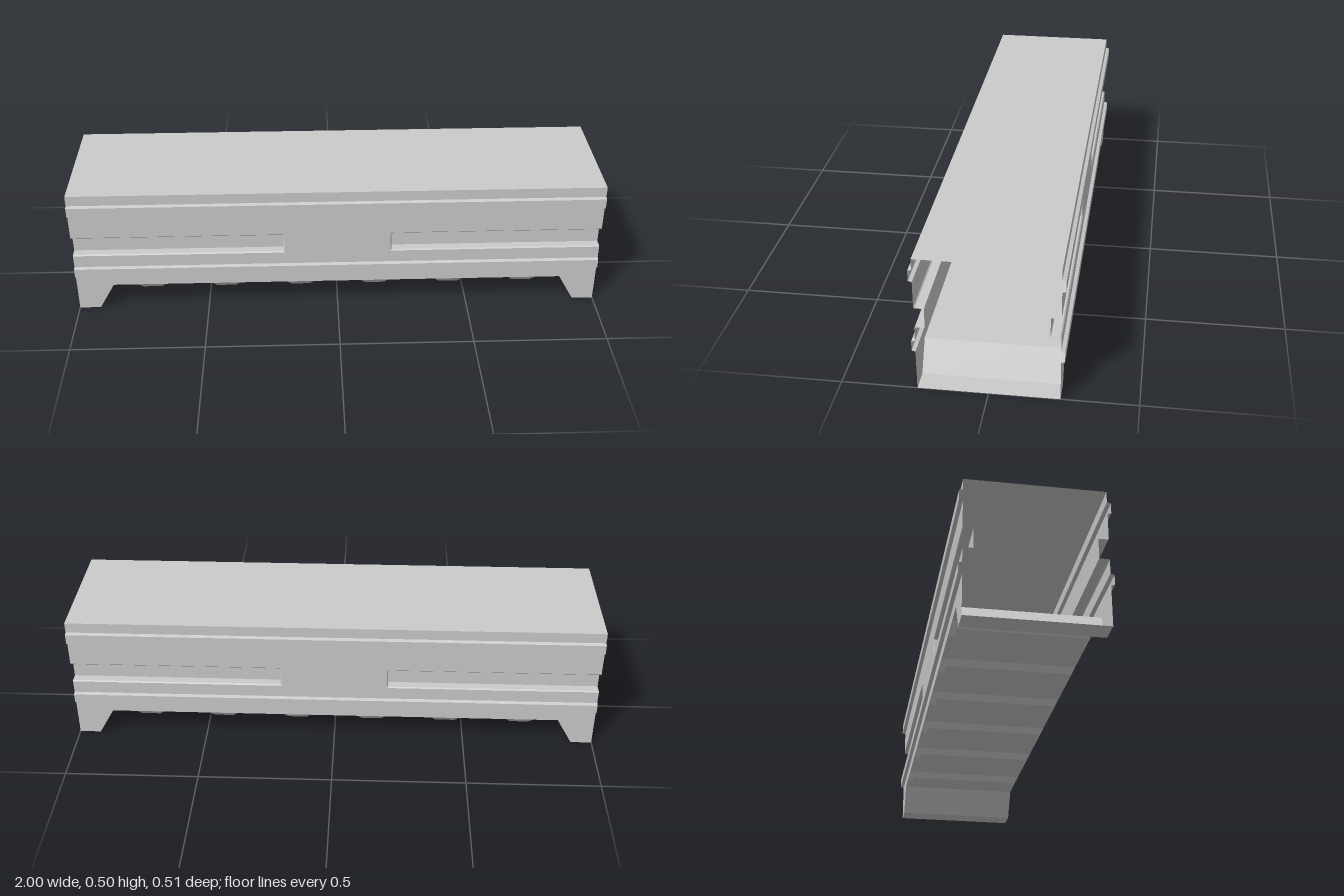
import * as THREE from 'three';

const material = new THREE.MeshStandardMaterial({ color: 0xcccccc, flatShading: true, side: THREE.DoubleSide });
const W = 0.24, TOP = 0.503, FLOOR = 0.105, SLOT_X = 0.2, SLOT_Y0 = 0.24, SLOT_Y1 = 0.322;

// Mesh from a list of four-cornered faces, corners counter-clockwise
function quadMesh(name, quads) {
  const pos = [];
  for (const [a, b, c, d] of quads) pos.push(...a, ...b, ...c, ...a, ...c, ...d);
  const geo = new THREE.BufferGeometry();
  geo.setAttribute('position', new THREE.Float32BufferAttribute(pos, 3));
  geo.computeVertexNormals();
  const mesh = new THREE.Mesh(geo, material);
  mesh.name = name;
  return mesh;
}

// Wall section swept along x from a [z, y] profile running downwards
function wallStrip(name, profile, x0 = -1, x1 = 1) {
  const quads = [];
  for (let i = 0; i < profile.length - 1; i++) {
    const [z0, y0] = profile[i], [z1, y1] = profile[i + 1];
    quads.push([[x0, y0, z0], [x0, y1, z1], [x1, y1, z1], [x1, y0, z0]]);
  }
  return quadMesh(name, quads);
}

// Profile of a raised rail between two heights
const rail = (y1, y0) => [[W, y1 + 0.003], [W + 0.013, y1 - 0.001], [W + 0.013, y0 + 0.001], [W, y0 - 0.003]];

// Recessed slot, open at the end of the body; s is the side in x
function slot(s) {
  const rings = [[0, W], [0.004, 0.236], [0.004, 0.205]];
  const quads = [];
  const corners = ([inset, z]) => {
    const x = SLOT_X + inset, y0 = SLOT_Y0 + inset, y1 = SLOT_Y1 - inset;
    return [[1, y0, z], [x, y0, z], [x, y1, z], [1, y1, z]];
  };
  for (let r = 0; r < 2; r++) {
    const a = corners(rings[r]), b = corners(rings[r + 1]);
    for (let i = 0; i < 3; i++) quads.push([a[i], b[i], b[i + 1], a[i + 1]]);
  }
  const c = corners(rings[2]);
  quads.push([c[1], c[0], c[3], c[2]]);
  const placed = quads.map(q => {
    const m = q.map(([x, y, z]) => [x * s, y, z]);
    return s < 0 ? m.reverse() : m;
  });
  return quadMesh('slot', placed);
}

function sideWall() {
  const wall = new THREE.Group();
  wall.name = 'sideWall';
  wall.add(
    wallStrip('upperWall', [[W, TOP], ...rail(0.46, 0.42), [W, SLOT_Y1]]),
    wallStrip('middlePanel', [[W, SLOT_Y1], [W, SLOT_Y0]], -SLOT_X, SLOT_X),
    wallStrip('lowerWall', [[W, SLOT_Y0], ...rail(0.188, 0.15), [W, FLOOR]])
  );
  for (const s of [-1, 1]) {
    wall.add(slot(s));
    // Side face of the foot at each end
    const foot = [[1, FLOOR, W], [0.86, FLOOR, W], [0.92, 0, W], [1, 0, W]].map(([x, y, z]) => [x * s, y, z]);
    wall.add(quadMesh('footSide', [s < 0 ? foot.reverse() : foot]));
  }
  return wall;
}

// Tapered cross bar under the floor
function crossBar(x) {
  const y = 0.082;
  const rect = (hx, hz, yy) => [[x - hx, yy, -hz], [x + hx, yy, -hz], [x + hx, yy, hz], [x - hx, yy, hz]];
  const a = rect(0.052, W, FLOOR), b = rect(0.036, W - 0.018, y);
  const quads = [b];
  for (let i = 0; i < 4; i++) {
    const j = (i + 1) % 4;
    quads.push([a[i], a[j], b[j], b[i]]);
  }
  return quadMesh('crossBar', quads);
}

export function createModel() {
  const model = new THREE.Group();
  model.name = 'body';

  // Two identical side walls, back one turned around
  const front = sideWall(), back = sideWall();
  back.rotation.y = Math.PI;
  model.add(front, back);

  // Flat roof
  model.add(quadMesh('roof', [[[-1, TOP, W], [1, TOP, W], [1, TOP, -W], [-1, TOP, -W]]]));

  // Underside with the sloped feet, ends left open
  const path = [[-1, 0], [-0.92, 0], [-0.86, FLOOR], [0.86, FLOOR], [0.92, 0], [1, 0]];
  const under = [];
  for (let i = 0; i < path.length - 1; i++) {
    const p = path[i], q = path[i + 1];
    under.push([[...p, -W], [...q, -W], [...q, W], [...p, W]]);
  }
  model.add(quadMesh('underside', under));

  // Six evenly spaced cross bars
  for (let i = 0; i < 6; i++) model.add(crossBar(-0.714 + i * 0.2857));
  return model;
}
